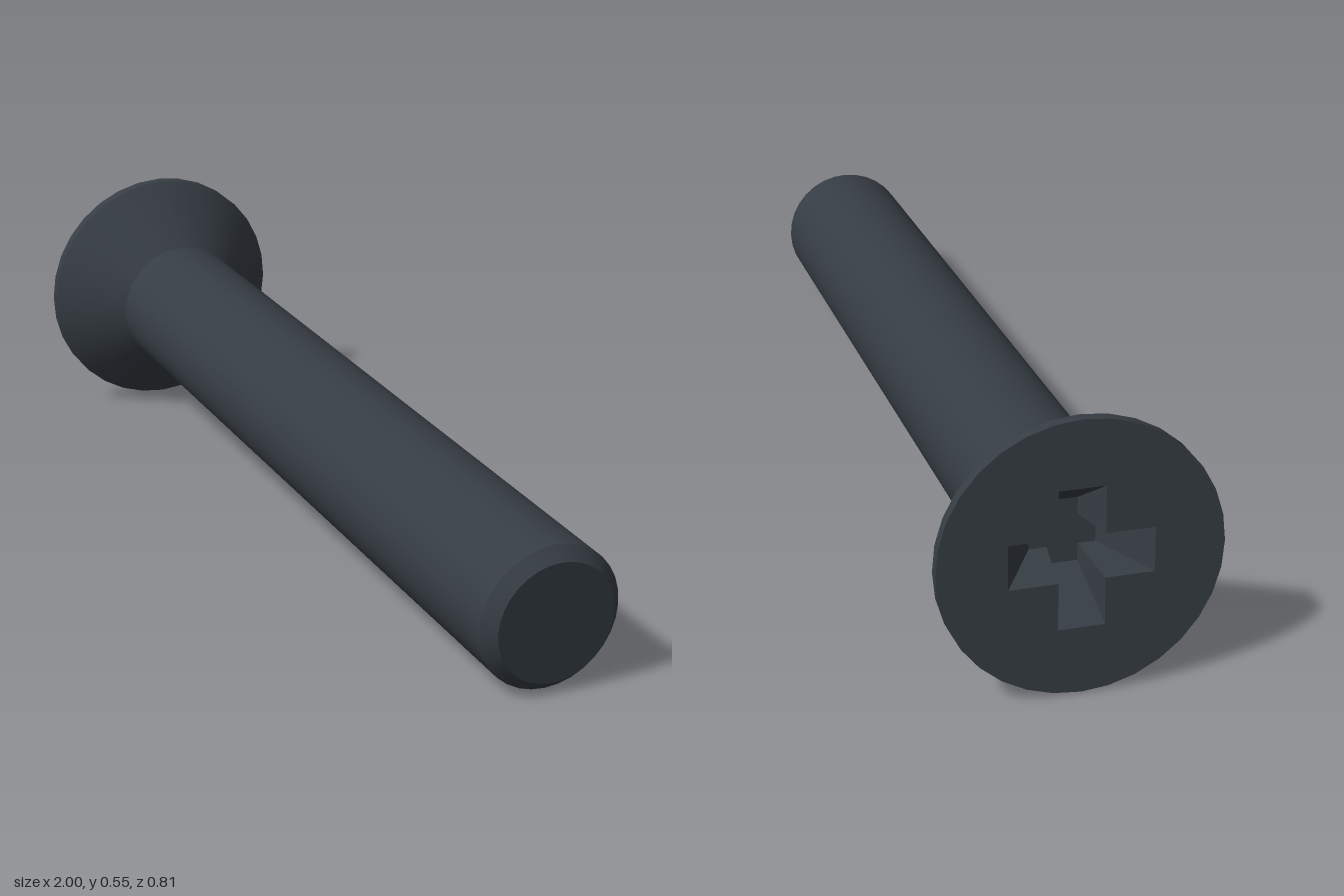
import * as THREE from 'three';
import { toCreasedNormals } from 'three/addons/utils/BufferGeometryUtils.js';

const SIDES = 32;
const HEAD_R = 0.275, SHAFT_R = 0.145, TIP_R = 0.121;
const RIM = 0.024, NECK = 0.154, LENGTH = 1.961, CHAMFER = 0.026;
const DEPTH = 0.12;

// Corners of a plus sign, anticlockwise: arm length and half width
function cross(arm, half) {
  const points = [];
  for (let i = 0; i < 4; i++) {
    for (const [x, y] of [[arm, -half], [arm, half], [half, half]]) {
      points.push(new THREE.Vector2(x, y).rotateAround(new THREE.Vector2(), i * Math.PI / 2));
    }
  }
  return points;
}

// Turned surface along -z from [radius, distance] pairs, with sharp edges
function turned(profile) {
  const geometry = new THREE.LatheGeometry(profile.map(([r, t]) => new THREE.Vector2(r, t)), SIDES);
  return toCreasedNormals(geometry.rotateX(-Math.PI / 2), 0.5);
}

export function createModel() {
  const steel = new THREE.MeshStandardMaterial({ color: 0x363d44 });
  steel.name = 'darkSteel';
  const screw = new THREE.Group();
  screw.name = 'countersunkScrew';
  const add = (name, geometry) => {
    const mesh = new THREE.Mesh(geometry, steel);
    mesh.name = name;
    screw.add(mesh);
    return mesh;
  };

  // Countersunk head and shaft with a chamfered tip
  add('head', turned([[HEAD_R, 0], [HEAD_R, RIM], [SHAFT_R, NECK]]));
  add('shaft', turned([[SHAFT_R, NECK], [SHAFT_R, LENGTH - CHAMFER], [TIP_R, LENGTH]]));
  const tip = add('tipFace', new THREE.CircleGeometry(TIP_R, SIDES));
  tip.rotation.y = Math.PI;
  tip.position.z = -LENGTH;

  // Flat head face with a cross-shaped opening
  const top = cross(0.14, 0.045), bottom = cross(0.065, 0.03);
  const rim = [];
  for (let i = 0; i < SIDES; i++) {
    const a = i / SIDES * Math.PI * 2;
    rim.push(new THREE.Vector2(HEAD_R * Math.cos(a), HEAD_R * Math.sin(a)));
  }
  const face = new THREE.Shape(rim);
  face.holes.push(new THREE.Path(top));
  add('headFace', new THREE.ShapeGeometry(face));

  // Tapered walls and floor of the driver recess
  const walls = [];
  top.forEach((a, i) => {
    const j = (i + 1) % top.length, b = top[j], c = bottom[j], d = bottom[i];
    walls.push(a.x, a.y, 0, b.x, b.y, 0, c.x, c.y, -DEPTH);
    walls.push(a.x, a.y, 0, c.x, c.y, -DEPTH, d.x, d.y, -DEPTH);
  });
  const wallGeometry = new THREE.BufferGeometry();
  wallGeometry.setAttribute('position', new THREE.Float32BufferAttribute(walls, 3));
  wallGeometry.computeVertexNormals();
  add('recessWalls', wallGeometry);
  add('recessFloor', new THREE.ShapeGeometry(new THREE.Shape(bottom))).position.z = -DEPTH;

  // Lay the screw down, resting on head rim and tip
  const back = new THREE.Vector3(-0.976, 0.067, -0.208).normalize();
  const side = new THREE.Vector3(0, 1, 0).cross(back).normalize();
  const up = back.clone().cross(side);
  screw.quaternion.setFromRotationMatrix(new THREE.Matrix4().makeBasis(side, up, back));
  screw.position.set(-0.94, 0.275, -0.137);

  const model = new THREE.Group();
  model.name = 'screwModel';
  model.add(screw);
  return model;
}
